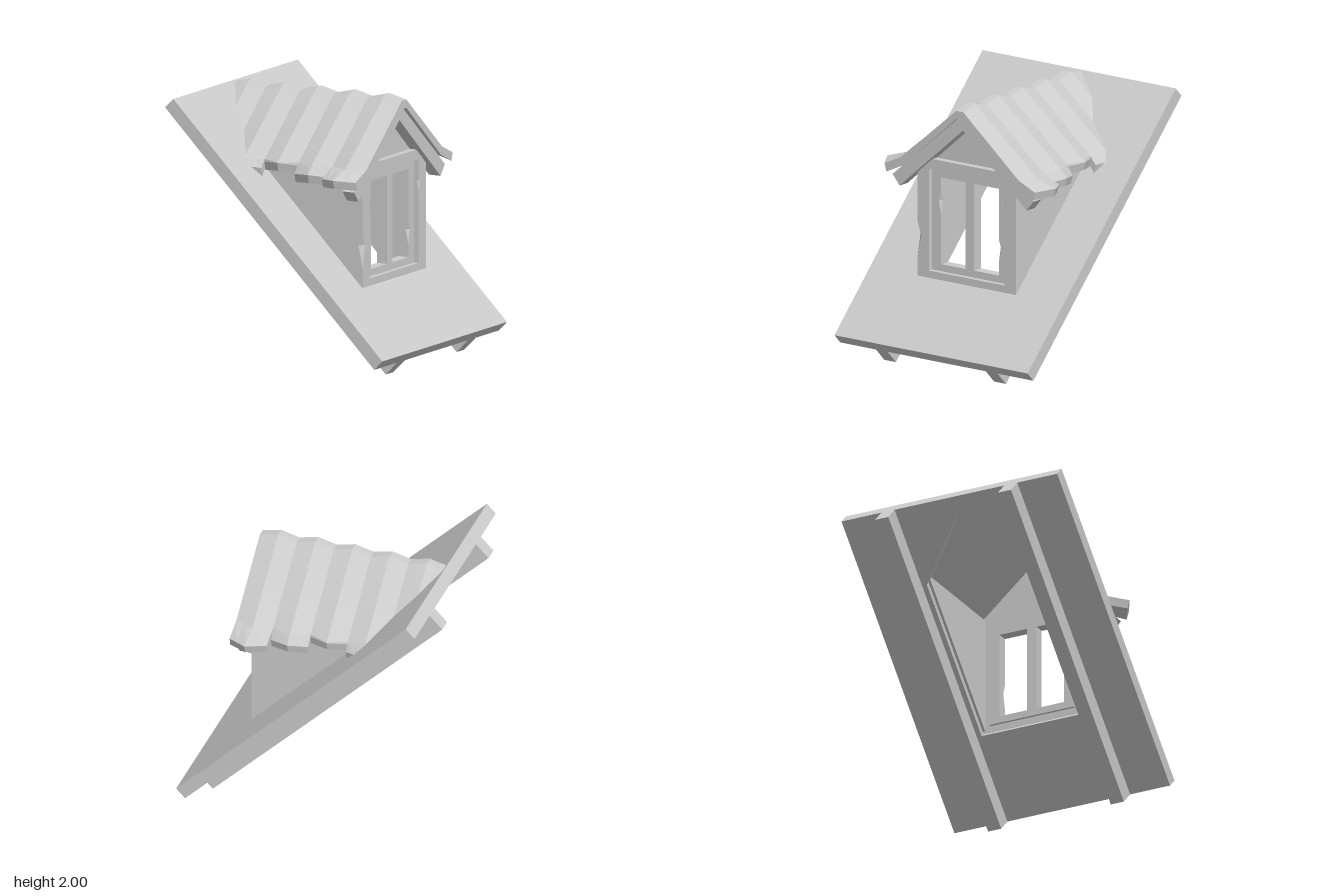
import * as THREE from 'three';

const material = new THREE.MeshStandardMaterial({ color: 0xcccccc, flatShading: true });

function addMesh(parent, name, geometry) {
  const mesh = new THREE.Mesh(geometry, material);
  mesh.name = name;
  parent.add(mesh);
  return mesh;
}

// Box given by its min and max corners
function addBox(parent, name, [x0, y0, z0], [x1, y1, z1]) {
  const mesh = addMesh(parent, name, new THREE.BoxGeometry(x1 - x0, y1 - y0, z1 - z0));
  mesh.position.set((x0 + x1) / 2, (y0 + y1) / 2, (z0 + z1) / 2);
}

function extrude(points, depth, hole) {
  const shape = new THREE.Shape(points.map(p => new THREE.Vector2(...p)));
  if (hole) shape.holes.push(new THREE.Path(hole.map(p => new THREE.Vector2(...p))));
  return new THREE.ExtrudeGeometry(shape, { depth, bevelEnabled: false });
}

// Closed solid through loops of points that all have the same even count
function loft(sections) {
  const n = sections[0].length;
  const last = sections.length - 1;
  const index = [];
  const quad = (a, b, c, d) => index.push(a, b, c, a, c, d);
  for (let i = 0; i < last; i++) {
    for (let j = 0; j < n; j++) {
      const k = (j + 1) % n;
      quad(i * n + j, i * n + k, (i + 1) * n + k, (i + 1) * n + j);
    }
  }
  for (let j = 0; j < n / 2 - 1; j++) {
    const e = last * n;
    quad(e + j, e + j + 1, e + n - 2 - j, e + n - 1 - j);
    quad(n - 1 - j, n - 2 - j, j + 1, j);
  }
  const geometry = new THREE.BufferGeometry();
  geometry.setAttribute('position', new THREE.Float32BufferAttribute(sections.flat(2), 3));
  geometry.setIndex(index);
  geometry.computeVertexNormals();
  return geometry;
}

// Upright timber with a chipped front edge; levels are [y, chip at z0, chip at z1]
function chippedPost(x0, x1, z0, z1, levels) {
  return loft(levels.map(([y, a, b]) => [
    [x0, y, z0], [x0, y, z1], [x1 - b, y, z1],
    [x1, y, z1 - b], [x1, y, z0 + a], [x1 - a, y, z0],
  ]));
}

// Corrugation: 1 on a crest, 0 in a trough
const HALF_WAVE = 0.1465, CREST = 0.494;
function wave(x) {
  const d = (x - CREST) / (2 * HALF_WAVE);
  return 1 - 2 * Math.abs(d - Math.round(d));
}

// Band of corrugated roofing between two half-wave numbers, with its own eave
function roofBand(from, to, eave) {
  const steps = 14;
  const sections = [];
  for (let k = from; k <= to; k += 0.5) {
    const upper = [], lower = [];
    for (let i = 0; i <= steps + 1; i++) {
      const t = Math.min(i / steps, 1);
      // The band stops inside the sloping main roof
      const guess = i > steps ? eave.y : 1.98 - 0.455 * t;
      const x = Math.max(CREST + k * HALF_WAVE, 1.1 - guess);
      const w = wave(x);
      const ridgeY = 1.965 + 0.035 * w;
      let z = THREE.MathUtils.lerp(0.033, 0.55 + 0.06 * w, t);
      let y = THREE.MathUtils.lerp(ridgeY, 1.525, t);
      if (i > steps) {
        z = eave.z + eave.swing * w;
        y = eave.y + 0.015 * w;
      }
      upper.push([x, y, z]);
      lower.push([x, y - 0.063, z * 0.975]);
    }
    const mirror = pts => pts.map(([x, y, z]) => [x, y, -z]);
    sections.push([
      ...mirror(upper).reverse(), ...upper,
      ...[...lower].reverse(), ...mirror(lower),
    ]);
  }
  return loft(sections);
}

export function createModel() {
  const model = new THREE.Group();
  model.name = 'roofDormer';

  // Sloping main roof on two rafters, cut open to the outline of the dormer
  const mainRoof = new THREE.Group();
  mainRoof.name = 'mainRoof';
  mainRoof.position.set(0.015, 1.005, 0);
  mainRoof.rotation.z = -Math.PI / 4;
  model.add(mainRoof);
  const slab = extrude(
    [[-1.28, -0.905], [1.28, -0.905], [1.28, 0.905], [-1.28, 0.905]], 0.1,
    [[-0.658, -0.42], [0.587, -0.42], [0.587, 0.42], [-0.658, 0.42], [-1.12, 0]],
  );
  addMesh(mainRoof, 'roofSlab', slab.rotateX(-Math.PI / 2));
  for (const z of [-0.515, 0.515]) {
    addBox(mainRoof, 'rafter', [-1.28, -0.142, z - 0.055], [1.28, 0, z + 0.055]);
  }

  // Dormer cheeks
  for (const z of [-0.46, 0.4]) {
    const cheek = extrude([[0.45, 0.63], [0.45, 1.54], [-0.46, 1.54]], 0.06);
    addMesh(model, 'sideWall', cheek).position.z = z;
  }

  // Outer timber frame
  addMesh(model, 'cornerPost', chippedPost(0.45, 0.555, 0.355, 0.46,
    [[0.61, 0, 0], [0.76, 0, 0], [0.93, 0, 0.036], [1.03, 0, 0], [1.53, 0, 0]]));
  addMesh(model, 'cornerPost', chippedPost(0.45, 0.555, -0.46, -0.355,
    [[0.61, 0, 0], [1.2, 0, 0], [1.29, 0, 0.015], [1.34, 0, 0], [1.53, 0, 0]]));
  addBox(model, 'sill', [0.45, 0.61, -0.355], [0.555, 0.666, 0.355]);
  addBox(model, 'lintel', [0.45, 1.45, -0.355], [0.555, 1.53, 0.355]);

  // Recessed window frame
  addMesh(model, 'windowStile', chippedPost(0.43, 0.515, 0.27, 0.355,
    [[0.666, 0, 0], [1.1, 0, 0], [1.21, 0.022, 0], [1.29, 0, 0], [1.45, 0, 0]]));
  addMesh(model, 'windowStile', chippedPost(0.43, 0.515, -0.355, -0.27,
    [[0.666, 0, 0], [0.82, 0, 0], [0.93, 0, 0.025], [1.0, 0, 0], [1.45, 0, 0]]));
  addBox(model, 'windowRail', [0.43, 0.666, -0.27], [0.515, 0.72, 0.27]);
  addBox(model, 'windowRail', [0.43, 1.388, -0.27], [0.515, 1.45, 0.27]);
  addBox(model, 'mullion', [0.43, 0.72, -0.04], [0.515, 1.388, 0.04]);

  // Gable panel and barge boards
  const gable = extrude([[-0.46, 1.52], [0.46, 1.52], [0, 1.92]], 0.04);
  addMesh(model, 'gablePanel', gable.rotateY(Math.PI / 2)).position.x = 0.46;
  const barge = extrude([
    [0, 1.935], [-0.66, 1.37], [-0.595, 1.29], [0, 1.81], [0.595, 1.29], [0.66, 1.37],
  ], 0.1);
  addMesh(model, 'bargeBoards', barge.rotateY(Math.PI / 2)).position.x = 0.5;

  // Corrugated dormer roof, with eaves of uneven length
  const roof = new THREE.Group();
  roof.name = 'dormerRoof';
  model.add(roof);
  const bands = [
    [-9, -5, { z: 0.6, swing: 0.06, y: 1.465 }],
    [-5, -3, { z: 0.555, swing: 0.06, y: 1.505 }],
    [-3, -1, { z: 0.61, swing: 0.055, y: 1.45 }],
    [-1, 1, { z: 0.705, swing: 0.085, y: 1.455 }],
  ];
  for (const band of bands) addMesh(roof, 'roofBand', roofBand(...band));

  return model;
}
